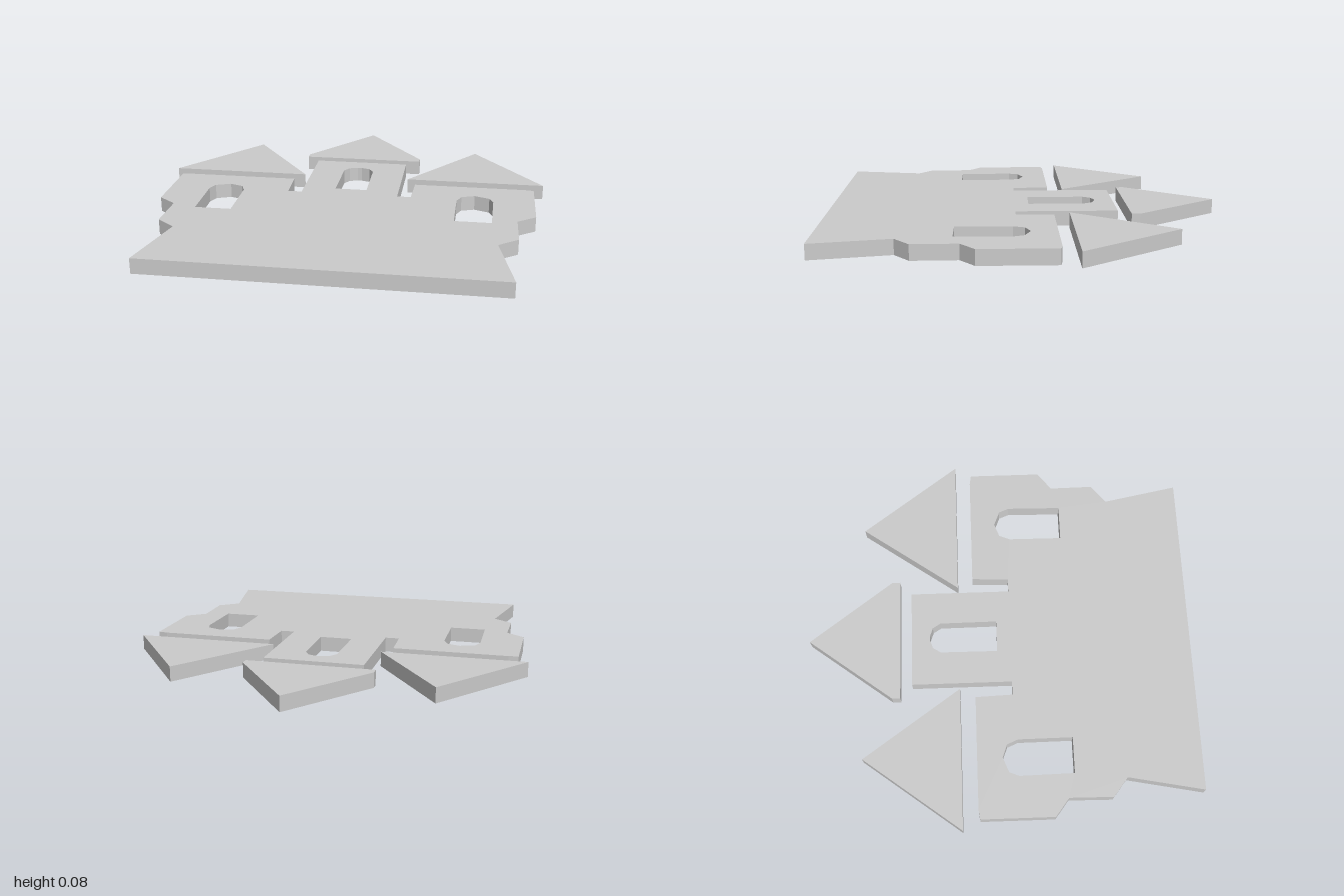
import * as THREE from 'three';

const THICKNESS = 0.075;
const material = new THREE.MeshStandardMaterial({ color: 0xcccccc, flatShading: true });

// Points are [x, z] on the ground plane; shape y is -z before the slab is laid flat.
const toVectors = (points) => points.map(([x, z]) => new THREE.Vector2(x, -z));
const mirrored = (points) => points.map(([x, z]) => [-x, z]).reverse();
const symmetric = (half) => [...half, ...mirrored(half)];

function slab(name, outline, holes = []) {
  const shape = new THREE.Shape(toVectors(outline));
  shape.holes = holes.map((h) => new THREE.Path(toVectors(h)));
  const geometry = new THREE.ExtrudeGeometry(shape, { depth: THICKNESS, bevelEnabled: false });
  geometry.rotateX(-Math.PI / 2);
  const mesh = new THREE.Mesh(geometry, material);
  mesh.name = name;
  return mesh;
}

export function createModel() {
  const castle = new THREE.Group();
  castle.name = 'flatCastle';

  // Castle wall: half outline from the foot up to the middle tower
  const wall = symmetric([
    [0.84, 0.985], [0.765, 0.605], [0.86, 0.53], [0.857, 0.31], [0.948, 0.24],
    [0.948, -0.13], [0.9, -0.137], [0.327, -0.137], [0.32, 0.052], [0.25, 0.052], [0.25, -0.46],
  ]);

  // Arched windows
  const sideWindow = [
    [0.735, 0.345], [0.74, 0.07], [0.72, 0.02], [0.645, -0.01],
    [0.578, 0.015], [0.555, 0.07], [0.553, 0.345],
  ];
  const middleWindow = symmetric([[0.082, -0.018], [0.08, -0.31], [0.055, -0.35], [0.012, -0.365]]);
  castle.add(slab('castleWall', wall, [sideWindow, mirrored(sideWindow), middleWindow]));

  // Separate roofs above the towers
  const sideRoof = [[0.28, -0.215], [1, -0.215], [0.63, -0.71]];
  castle.add(slab('leftRoof', sideRoof));
  castle.add(slab('rightRoof', mirrored(sideRoof)));
  castle.add(slab('middleRoof', [
    [-0.32, -0.52], [0.32, -0.52], [0.32, -0.562], [0, -0.99], [-0.32, -0.562],
  ]));

  return castle;
}
